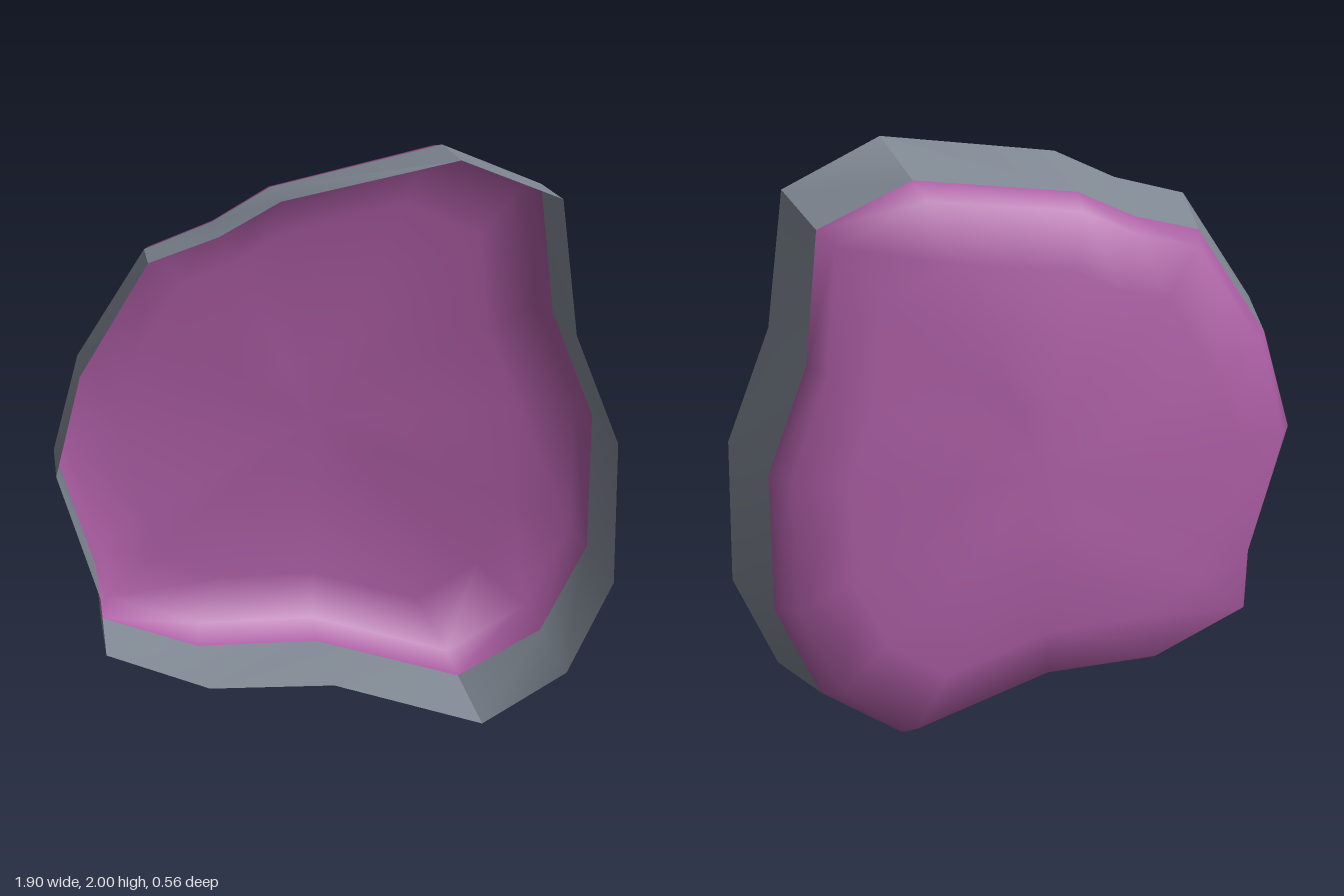
import * as THREE from 'three';
import { toCreasedNormals } from 'three/addons/utils/BufferGeometryUtils.js';

// Outline control points, clockwise from the top: x, y of the open rim, z of the wall's back edge, z of the bevel
const outline = [
  [0.42, 2.0, -0.04, -0.15], [0.765, 1.845, -0.02, -0.12], [0.81, 1.36, -0.05, -0.165], [0.95, 0.97, -0.055, -0.18],
  [0.935, 0.48, -0.08, -0.2], [0.775, 0.17, -0.11, -0.24], [0.49, 0.005, -0.14, -0.255], [-0.01, 0.165, -0.12, -0.24],
  [-0.43, 0.175, -0.1, -0.21], [-0.78, 0.31, -0.06, -0.165], [-0.8, 0.51, -0.045, -0.15], [-0.95, 0.95, -0.03, -0.12],
  [-0.87, 1.3, -0.01, -0.1], [-0.64, 1.69, 0.02, -0.08], [-0.4, 1.77, 0.0, -0.1], [-0.19, 1.885, -0.01, -0.115],
];

// Scale the outline about a centre height, with a depth for each point
const ring = (scale, cy, depth) =>
  outline.map((p) => new THREE.Vector3(p[0] * scale, cy + (p[1] - cy) * scale, depth(p)));

// Join matching rings into one surface, optionally closed by a centre point
function loft(rings, tip) {
  const n = outline.length;
  const points = rings.flat();
  const index = [];
  for (let r = 0; r < rings.length - 1; r++) {
    for (let i = 0; i < n; i++) {
      const j = (i + 1) % n;
      const a = r * n + i, b = r * n + j, c = a + n, d = b + n;
      index.push(a, b, c, b, d, c);
    }
  }
  if (tip) {
    const start = (rings.length - 1) * n;
    points.push(tip);
    for (let i = 0; i < n; i++) index.push(start + i, start + ((i + 1) % n), points.length - 1);
  }
  const geometry = new THREE.BufferGeometry().setFromPoints(points);
  geometry.setIndex(index);
  geometry.computeVertexNormals();
  return geometry;
}

export function createModel() {
  const grey = new THREE.MeshStandardMaterial({ name: 'slate grey', color: 0x808893, side: THREE.DoubleSide });
  const purple = new THREE.MeshStandardMaterial({ name: 'orchid purple', color: 0xaa5ca2, side: THREE.DoubleSide });
  const group = new THREE.Group();
  group.name = 'shell';

  // Tapered side wall, open at the front
  const rim = ring(1, 0.7, () => 0.28);
  const backEdge = ring(0.96, 0.7, (p) => p[2]);
  const wall = new THREE.Mesh(toCreasedNormals(loft([rim, backEdge]), 0.6), grey);
  wall.name = 'sideWall';

  // Bevelled back panel swelling gently towards its middle
  const middle = -0.24;
  const rings = [backEdge];
  for (const s of [1, 0.78, 0.52, 0.26]) {
    rings.push(ring(0.915 * s, 0.92, (p) => p[3] * s + middle * (1 - s) - 0.12 * s * (1 - s)));
  }
  const panel = new THREE.Mesh(loft(rings, new THREE.Vector3(0, 0.92, middle - 0.01)), purple);
  panel.name = 'backPanel';

  group.add(wall, panel);
  return group;
}
